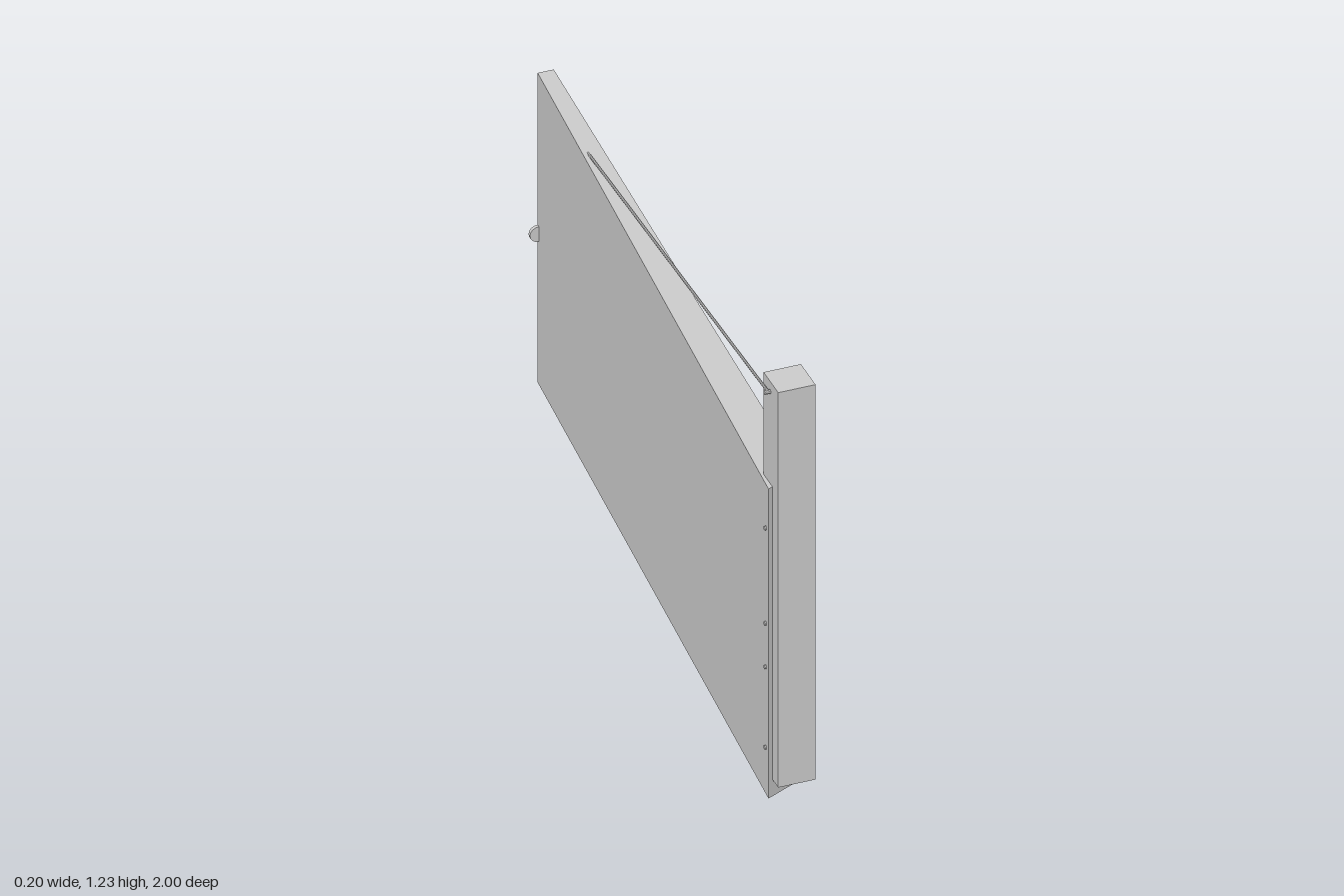
import * as THREE from 'three';

const material = new THREE.MeshStandardMaterial({ color: 0xcccccc, flatShading: true });

function add(group, name, geometry, x = 0, y = 0, z = 0) {
  const mesh = new THREE.Mesh(geometry, material);
  mesh.name = name;
  mesh.position.set(x, y, z);
  group.add(mesh);
  return mesh;
}

export function createModel() {
  const group = new THREE.Group();
  group.name = 'gate';

  // Square hinge post, slightly clear of the ground
  add(group, 'post', new THREE.BoxGeometry(0.1, 1.18, 0.1), -0.035, 0.64, 0.95);

  // Tapered gate panel: plan outline (x, z), extruded upwards
  const outline = [[0.055, -1], [0.098, -1], [0.01, 0.915], [-0.098, 0.967]];
  const plan = new THREE.Shape(outline.map(([x, z]) => new THREE.Vector2(x, -z)));
  const panel = new THREE.ExtrudeGeometry(plan, { depth: 0.925, bevelEnabled: false });
  panel.rotateX(-Math.PI / 2);
  add(group, 'panel', panel);

  // Bolts through panel and post; the top one anchors the stay
  for (const y of [0.14, 0.38, 0.51, 0.795, 1.2]) {
    const bolt = new THREE.CylinderGeometry(0.006, 0.006, 0.02, 10).rotateZ(Math.PI / 2);
    add(group, y > 1 ? 'stayAnchor' : 'bolt', bolt, -0.091, y, 0.945);
  }

  // Diagonal stay wire from the post down into the panel top
  const start = new THREE.Vector3(-0.092, 1.203, 0.945);
  const end = new THREE.Vector3(0.041, 0.922, -0.62);
  const wire = new THREE.TubeGeometry(new THREE.LineCurve3(start, end), 1, 0.004, 8);
  add(group, 'stayWire', wire);

  // Round latch plate at the free end
  const latch = new THREE.CylinderGeometry(0.022, 0.022, 0.01, 16).rotateX(Math.PI / 2);
  add(group, 'latch', latch, 0.052, 0.45, -0.994);

  return group;
}
